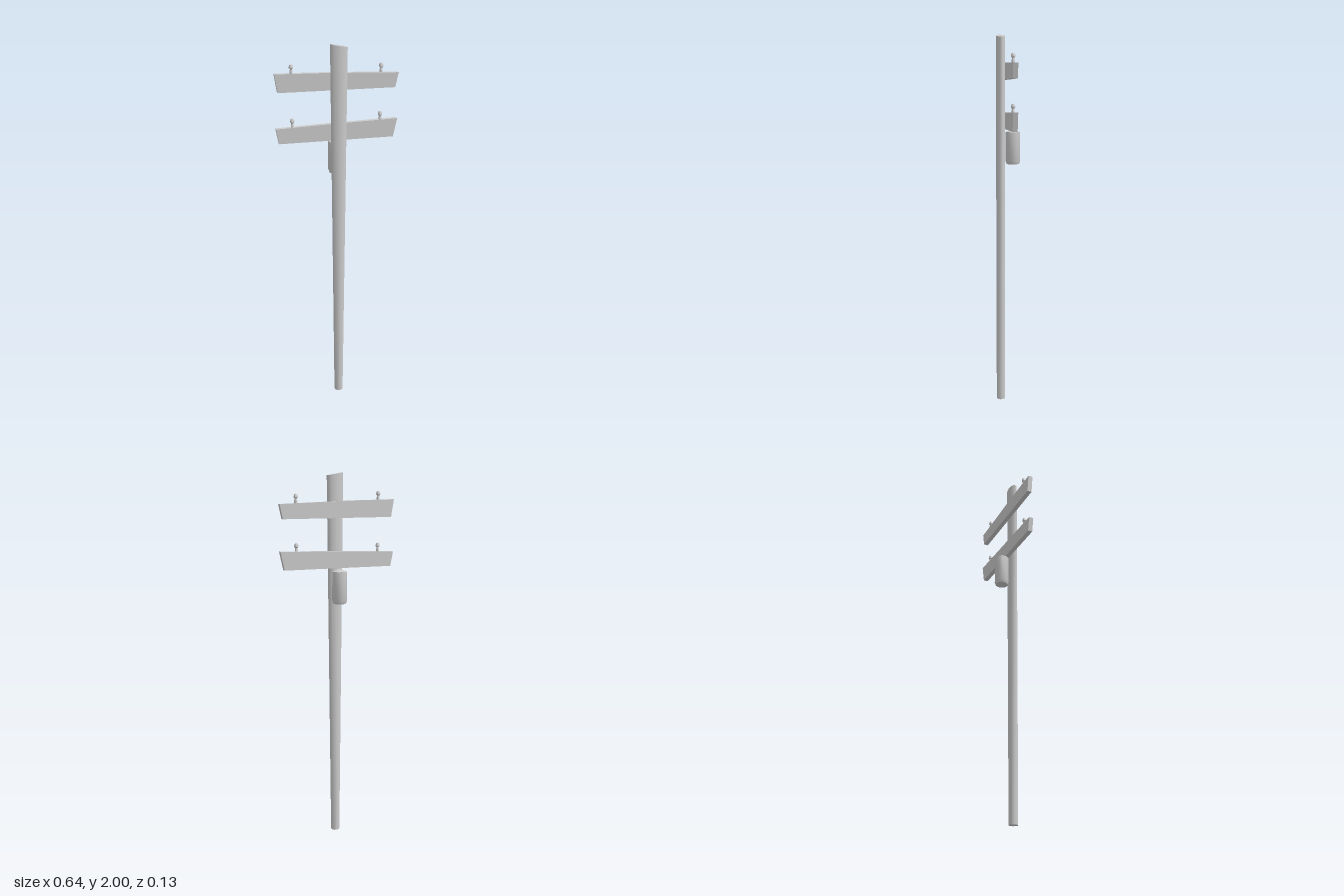
import * as THREE from 'three';
import { toCreasedNormals } from 'three/addons/utils/BufferGeometryUtils.js';

const material = new THREE.MeshStandardMaterial({ color: 0xcccccc });

function addMesh(parent, name, geometry, x = 0, y = 0, z = 0) {
  const mesh = new THREE.Mesh(geometry, material);
  mesh.name = name;
  mesh.position.set(x, y, z);
  parent.add(mesh);
  return mesh;
}

// Turned solid from [radius, height] pairs, listed bottom to top
function turned(profile, sides) {
  const points = profile.map(([r, y]) => new THREE.Vector2(r, y));
  return toCreasedNormals(new THREE.LatheGeometry(points, sides), 0.8);
}

// Ten-sided pole, round at the foot, widening sideways to an oval slanted top
function poleGeometry() {
  const geometry = new THREE.CylinderGeometry(0.024, 0.024, 1.992, 10, 4);
  geometry.translate(0, 0.996, 0);
  const pos = geometry.attributes.position;
  const normal = geometry.attributes.normal;
  for (let i = 0; i < pos.count; i++) {
    const t = pos.getY(i) / 1.992;
    const widen = 1 + 0.87 * t;
    const x = pos.getX(i) * widen;
    pos.setX(i, x);
    if (t > 0.99) pos.setY(i, 1.992 - x * 0.18);
    const n = new THREE.Vector3().fromBufferAttribute(normal, i);
    n.x /= widen;
    n.normalize();
    normal.setXYZ(i, n.x, n.y, n.z);
  }
  return geometry;
}

// Hand-cut plank: outline in the front plane, extruded through its thickness
function armGeometry(outline) {
  const shape = new THREE.Shape(outline.map(([x, y]) => new THREE.Vector2(x, y)));
  const geometry = new THREE.ExtrudeGeometry(shape, { depth: 0.025, bevelEnabled: false });
  return geometry.translate(0, 0, -0.009);
}

export function createModel() {
  const model = new THREE.Group();
  model.name = 'utilityPole';

  addMesh(model, 'pole', poleGeometry(), 0, 0, 0.04);

  // Cross arms with a pair of insulators on each
  const insulator = turned([
    [0, 0], [0.008, 0], [0.008, 0.018], [0.006, 0.022], [0.006, 0.026],
    [0.011, 0.03], [0.011, 0.038], [0.007, 0.048], [0, 0.05],
  ], 10);
  const arms = [
    {
      name: 'upperCrossArm',
      outline: [[-0.303, 1.77], [0.302, 1.768], [0.318, 1.843], [-0.06, 1.857], [-0.318, 1.862]],
      bases: [1.856, 1.844],
    },
    {
      name: 'lowerCrossArm',
      outline: [[-0.303, 1.51], [0.297, 1.51], [0.318, 1.606], [-0.06, 1.596], [-0.318, 1.587]],
      bases: [1.586, 1.597],
    },
  ];
  for (const { name, outline, bases } of arms) {
    const arm = new THREE.Group();
    arm.name = name;
    addMesh(arm, 'plank', armGeometry(outline));
    addMesh(arm, 'rightInsulator', insulator, -0.232, bases[0], 0.004);
    addMesh(arm, 'leftInsulator', insulator, 0.228, bases[1], 0.004);
    model.add(arm);
  }

  // Transformer can hung on the back of the pole
  const can = turned([
    [0, 1.325], [0.034, 1.325], [0.04, 1.342], [0.039, 1.495], [0, 1.509],
  ], 10);
  addMesh(model, 'transformer', can, 0, 0, -0.026);

  return model;
}
